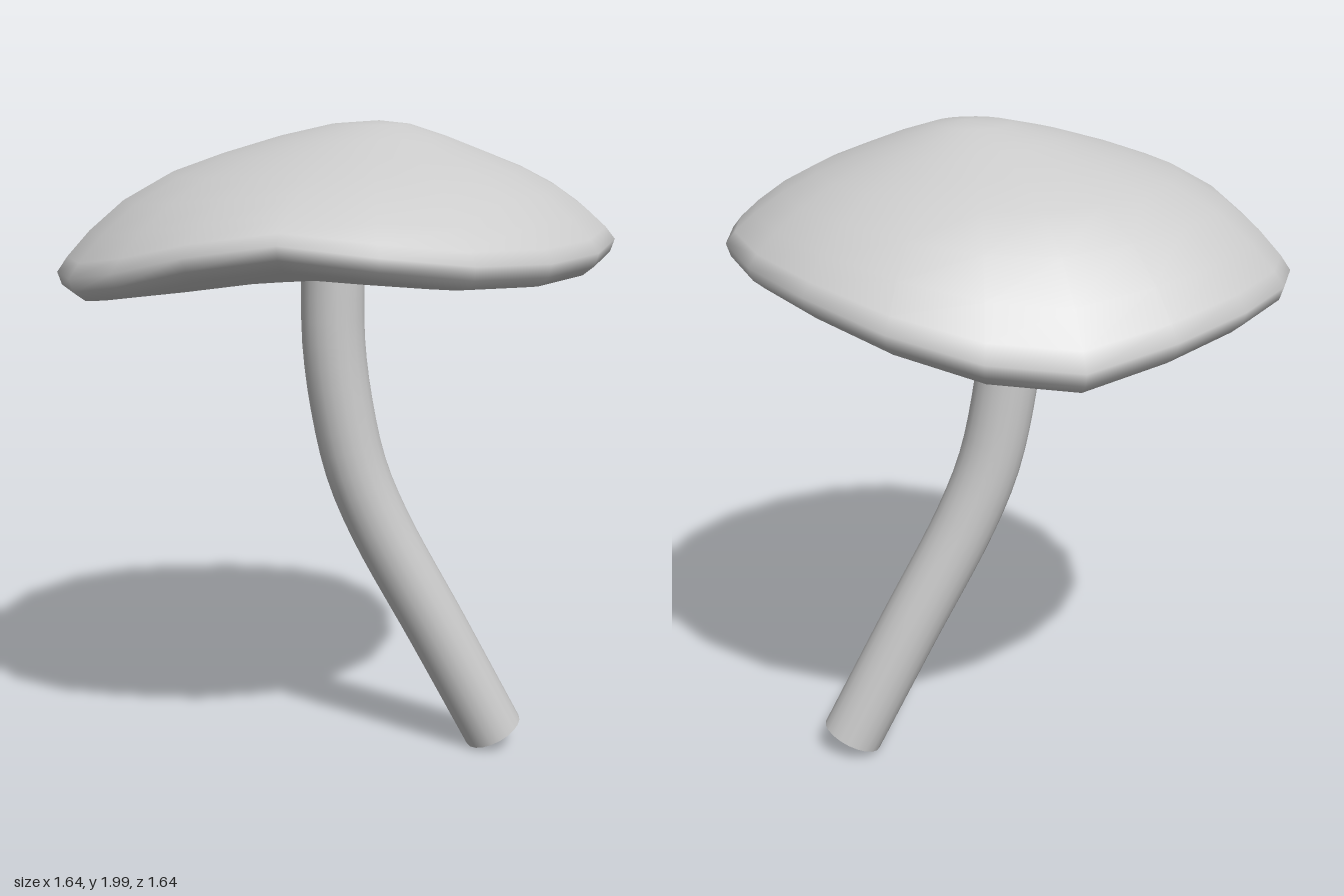
import * as THREE from 'three';

const SIDES = 20;
const RADIUS = 0.82;

// Height of the wavy rim every 18 degrees, from +x towards +z
const RIM = [1.68, 1.67, 1.655, 1.65, 1.66, 1.69, 1.72, 1.68, 1.62, 1.58,
  1.57, 1.57, 1.585, 1.575, 1.54, 1.49, 1.52, 1.58, 1.64, 1.67];
const RIM_MEAN = 1.61;

// Cap cross-section from apex to underside centre: [radius fraction, height, share of the rim wave]
const PROFILE = [
  [0, 2.0, 0], [0.14, 1.99, 0], [0.3, 1.955, 0.01], [0.48, 1.905, 0.05],
  [0.64, 1.855, 0.15], [0.78, 1.79, 0.36], [0.89, 1.715, 0.65], [0.965, 1.65, 0.9],
  [1, RIM_MEAN, 1], [0.985, 1.573, 1], [0.945, 1.547, 1], [0.88, 1.542, 0.93],
  [0.7, 1.543, 0.62], [0.4, 1.547, 0.22], [0, 1.55, 0],
];

function createCapGeometry() {
  const positions = [];
  const index = [];
  const last = PROFILE.length - 1;

  PROFILE.forEach(([t, y, wave], ring) => {
    const pole = ring === 0 || ring === last;
    // The crown leans a little towards +x
    const lean = ring < 8 ? 0.13 * (1 - t) ** 1.3 : 0;
    for (let i = 0; i < (pole ? 1 : SIDES); i++) {
      const a = (i / SIDES) * Math.PI * 2;
      positions.push(
        lean + Math.cos(a) * t * RADIUS,
        y + wave * (RIM[i] - RIM_MEAN),
        Math.sin(a) * t * RADIUS,
      );
    }
  });

  const at = (ring, i) => (ring === 0 ? 0
    : ring === last ? 1 + (last - 1) * SIDES
      : 1 + (ring - 1) * SIDES + (i % SIDES));
  for (let ring = 0; ring < last; ring++) {
    for (let i = 0; i < SIDES; i++) {
      const a = at(ring, i), b = at(ring, i + 1);
      const c = at(ring + 1, i), d = at(ring + 1, i + 1);
      if (ring < last - 1) index.push(a, d, c);
      if (ring > 0) index.push(a, b, d);
    }
  }

  const geometry = new THREE.BufferGeometry();
  geometry.setAttribute('position', new THREE.Float32BufferAttribute(positions, 3));
  geometry.setIndex(index);
  geometry.computeVertexNormals();
  return geometry;
}

export function createModel() {
  const group = new THREE.Group();
  group.name = 'mushroom';

  // Domed cap with a rolled, wavy edge
  const cap = new THREE.Mesh(createCapGeometry(), new THREE.MeshStandardMaterial({ color: 0xcccccc }));
  cap.name = 'cap';
  group.add(cap);

  // Bent stem, an open tube
  const path = new THREE.CatmullRomCurve3([
    [-0.008, 1.55], [-0.004, 1.34], [0.02, 1.15], [0.065, 0.95],
    [0.14, 0.765], [0.33, 0.41], [0.518, 0.055],
  ].map(([x, y]) => new THREE.Vector3(x, y, 0)));
  const stem = new THREE.Mesh(
    new THREE.TubeGeometry(path, 24, 0.096, 20, false),
    new THREE.MeshStandardMaterial({ color: 0xcccccc, side: THREE.DoubleSide }),
  );
  stem.name = 'stem';
  group.add(stem);

  return group;
}
